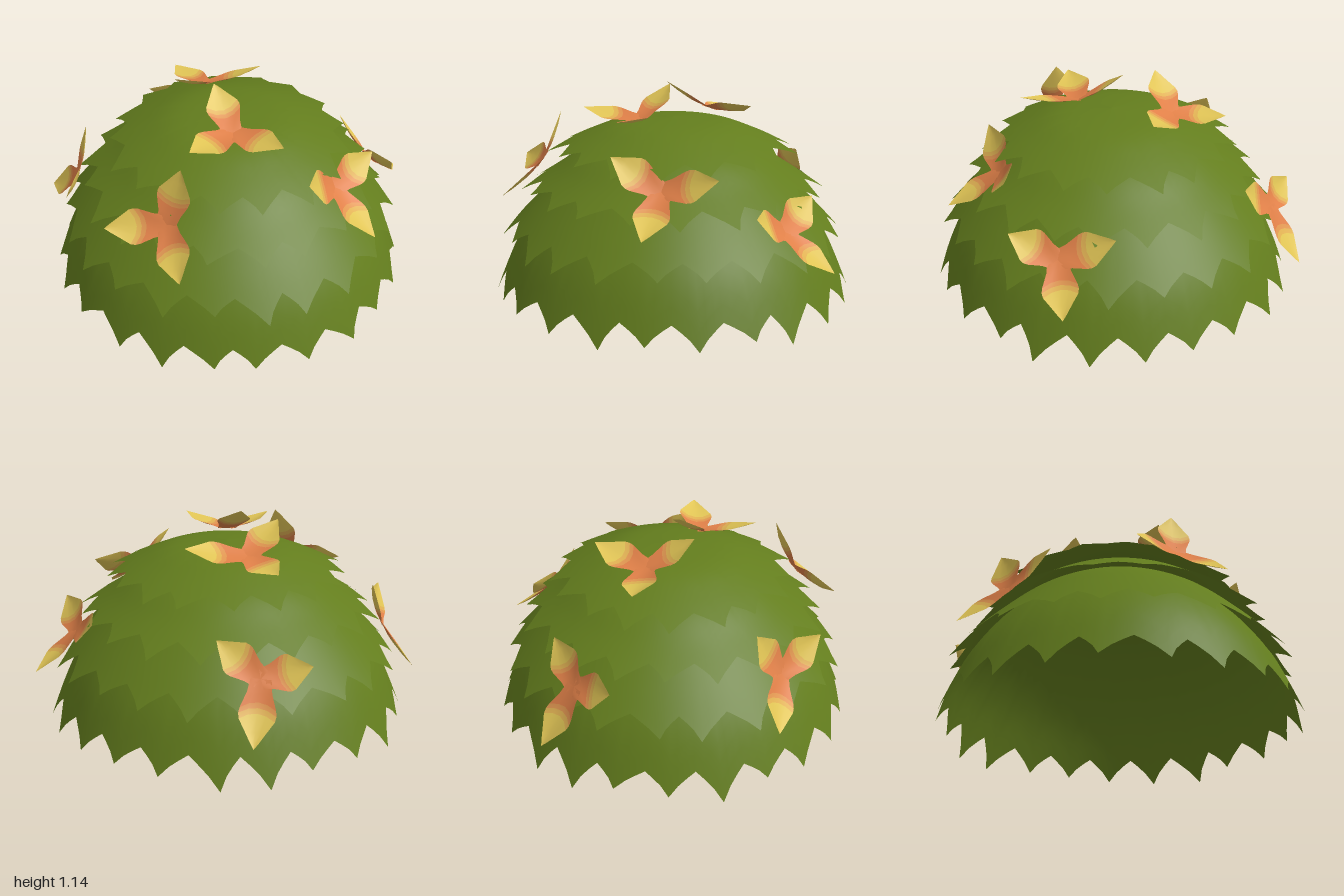
import * as THREE from 'three';

const paint = (name, color) => {
  const m = new THREE.MeshStandardMaterial({ color, side: THREE.DoubleSide });
  m.name = name;
  return m;
};

// Small seeded generator for the uneven leaf tips
function seeded(seed) {
  let s = seed;
  return () => ((s = (s * 16807) % 2147483647) / 2147483647);
}

// Ring of foliage: a profile (radius, height) swept around y, its lower rim cut into leaf tips
function skirtGeometry(profile, teeth, cut, seed) {
  const rand = seeded(seed);
  const curve = new THREE.SplineCurve(profile.map(([r, y]) => new THREE.Vector2(r, y)));
  const length = curve.getLength();
  const rows = 14, perTooth = 6, cols = teeth * perTooth;
  const reach = [0, 0.25, 0.55, 1, 0.55, 0.25];
  const pos = [], index = [];
  for (let t = 0; t < teeth; t++) {
    const depth = 0.6 + 0.4 * rand();
    const lean = (rand() - 0.5) * 1.8;
    for (let k = 0; k < perTooth; k++) {
      const shift = lean * reach[k];
      const end = 1 - (cut / length) * (1 - reach[k] * depth);
      for (let i = 0; i <= rows; i++) {
        const f = i / rows;
        const p = curve.getPointAt(f * end);
        const a = ((t * perTooth + k + shift * f ** 4) / cols) * Math.PI * 2;
        pos.push(p.x * Math.sin(a), p.y, p.x * Math.cos(a));
      }
    }
  }
  for (let c = 0; c < cols; c++) {
    for (let i = 0; i < rows; i++) {
      const a = c * (rows + 1) + i, b = ((c + 1) % cols) * (rows + 1) + i;
      index.push(a, a + 1, b, b, a + 1, b + 1);
    }
  }
  const g = new THREE.BufferGeometry();
  g.setAttribute('position', new THREE.Float32BufferAttribute(pos, 3));
  g.setIndex(index);
  g.computeVertexNormals();
  return g;
}

// Pointed petal from the flower centre to its tip, with one material group per colour band
function petalGeometry(centre, tip, normal) {
  const dir = tip.clone().sub(centre);
  const side = normal.clone().cross(dir).normalize();
  const steps = [0, 0.2, 0.38, 0.46, 0.54, 0.76, 0.9, 1];
  const widths = [0.05, 0.06, 0.086, 0.09, 0.085, 0.05, 0.022, 0];
  const bands = [0, 0, 1, 2, 3, 3, 3];
  const us = [-1, -0.5, 0, 0.5, 1];
  const pos = [], index = [];
  steps.forEach((s, i) => {
    const arc = i > 1 && i < 5 ? 0.1 : 0;
    const lift = 0.015 * Math.sin(Math.PI * s);
    for (const u of us) {
      const p = centre.clone().addScaledVector(dir, s + arc * (u * u - 0.5))
        .addScaledVector(side, u * widths[i])
        .addScaledVector(normal, lift * (u * u - 1));
      pos.push(p.x, p.y, p.z);
    }
  });
  const g = new THREE.BufferGeometry();
  const n = us.length;
  bands.forEach((band, i) => {
    g.addGroup(index.length, (n - 1) * 6, band);
    for (let j = 0; j < n - 1; j++) {
      const a = i * n + j, b = a + n;
      index.push(a, b, a + 1, a + 1, b, b + 1);
    }
  });
  g.setAttribute('position', new THREE.Float32BufferAttribute(pos, 3));
  g.setIndex(index);
  g.computeVertexNormals();
  return g;
}

export function createModel() {
  const root = new THREE.Group();
  root.name = 'floweringBush';
  const leaf = paint('leaf green', 0x637d1d);
  const petalPaints = [
    paint('petal orange', 0xe08048),
    paint('petal apricot', 0xe09650),
    paint('petal gold', 0xdfb052),
    paint('petal yellow', 0xe0c455),
  ];

  // Overlapping foliage layers with flared tips, crown to hem
  const foliage = new THREE.Group();
  foliage.name = 'foliage';
  foliage.position.x = 0.02;
  root.add(foliage);
  const layers = [
    ['crownLeaves', [[0, 0.985], [0.28, 0.96], [0.48, 0.89], [0.69, 0.79]], 17, 0.15, 11],
    ['upperLeaves', [[0.2, 0.925], [0.45, 0.83], [0.64, 0.705], [0.835, 0.58]], 20, 0.15, 23],
    ['middleLeaves', [[0.3, 0.86], [0.55, 0.715], [0.75, 0.535], [0.94, 0.335]], 22, 0.15, 37],
    ['hemLeaves', [[0, 0.9], [0.4, 0.785], [0.66, 0.58], [0.82, 0.37], [0.9, 0.21], [0.985, 0]], 23, 0.18, 53],
  ];
  for (const [name, profile, teeth, cut, seed] of layers) {
    const mesh = new THREE.Mesh(skirtGeometry(profile, teeth, cut, seed), leaf);
    mesh.name = name;
    foliage.add(mesh);
  }

  // Three-petalled flowers: centre, then the three tips
  const flowers = {
    topBackFlower: [[-0.18, 0.985, -0.25], [-0.4, 0.96, -0.43], [0.1, 1.04, -0.41], [-0.27, 1.13, -0.02]],
    topFrontFlower: [[0.09, 0.995, 0.19], [-0.06, 1.15, 0], [0.38, 1.04, 0.32], [-0.06, 1.04, 0.47]],
    frontFlower: [[-0.12, 0.75, 0.69], [-0.07, 1.02, 0.59], [-0.42, 0.72, 0.76], [0.01, 0.59, 0.92]],
    rightFlower: [[-0.79, 0.56, 0.2], [-0.72, 0.68, 0.47], [-1, 0.37, 0.07], [-0.77, 0.8, 0.06]],
    leftFlower: [[0.63, 0.74, 0.18], [0.78, 0.82, -0.07], [0.53, 0.9, 0.41], [0.87, 0.57, 0.32]],
    backLeftFlower: [[0.73, 0.53, -0.42], [0.53, 0.65, -0.62], [0.87, 0.35, -0.63], [0.88, 0.65, -0.23]],
    backRightFlower: [[-0.42, 0.55, -0.76], [-0.45, 0.28, -0.96], [-0.65, 0.61, -0.67], [-0.2, 0.72, -0.77]],
  };
  for (const [name, points] of Object.entries(flowers)) {
    const [centre, ...tips] = points.map((p) => new THREE.Vector3(...p));
    const normal = new THREE.Triangle(...tips).getNormal(new THREE.Vector3());
    if (normal.dot(centre) < 0) normal.negate();
    const flower = new THREE.Group();
    flower.name = name;
    for (const tip of tips) {
      const petal = new THREE.Mesh(petalGeometry(centre, tip, normal), petalPaints);
      petal.name = 'petal';
      flower.add(petal);
    }
    root.add(flower);
  }
  return root;
}
